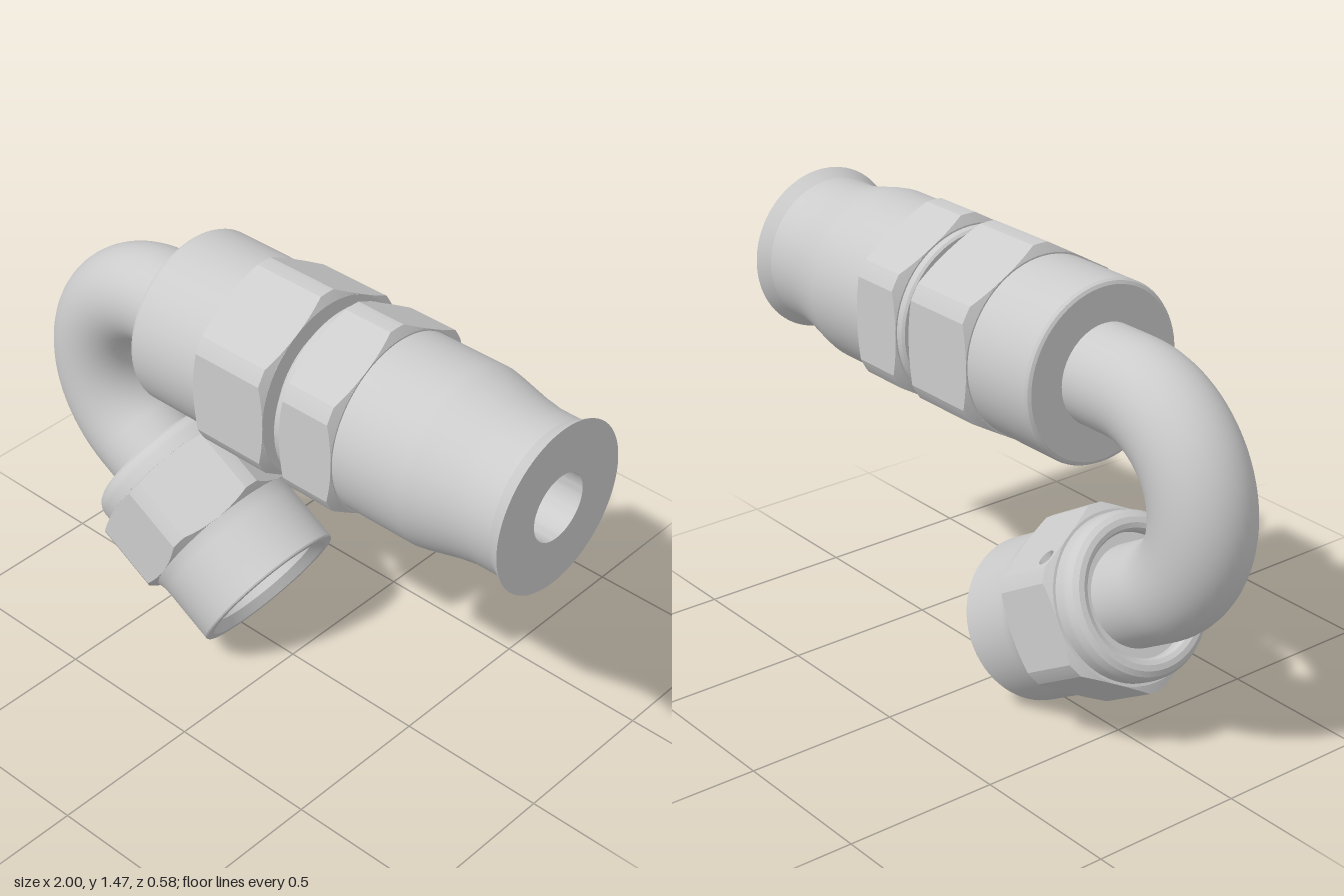
import * as THREE from 'three';
import { toCreasedNormals } from 'three/addons/utils/BufferGeometryUtils.js';

const grey = new THREE.MeshStandardMaterial({ color: 0xcccccc });
const greyDouble = new THREE.MeshStandardMaterial({ color: 0xcccccc, side: THREE.DoubleSide });

function addMesh(parent, name, geometry, material = grey) {
  const mesh = new THREE.Mesh(geometry, material);
  mesh.name = name;
  parent.add(mesh);
  return mesh;
}

// Turned part: [radius, distance along axis] pairs
function turned(points, segments = 72) {
  const profile = points.map(([r, y]) => new THREE.Vector2(r, y));
  return toCreasedNormals(new THREE.LatheGeometry(profile, segments), 0.4);
}

// Hexagon with turned-down corners: a lathe profile cut by six flats.
// hole = { side, x, y, r } drills a small blind hole into one flat.
function addHexagon(parent, name, apothem, profile, hole) {
  const group = new THREE.Group();
  group.name = name;
  parent.add(group);

  // Refine the profile so the scalloped chamfer edges come out curved
  const rows = [];
  const STEPS = 8, ARC = 8;
  profile.forEach(([r, y], i) => {
    if (i === 0) return rows.push([r, y]);
    const [r0, y0] = profile[i - 1];
    for (let j = 1; j <= STEPS; j++) {
      const t = j / STEPS;
      rows.push([r0 + (r - r0) * t, y0 + (y - y0) * t]);
    }
  });

  // Corner surfaces between neighbouring flats
  const positions = [];
  const point = ([r, y], side, j) => {
    const phi = r > apothem ? Math.acos(apothem / r) : 0;
    const a = Math.PI / 6 + side * Math.PI / 3 + phi + (Math.PI / 3 - 2 * phi) * j / ARC;
    return [r * Math.cos(a), y, r * Math.sin(a)];
  };
  for (let side = 0; side < 6; side++) {
    for (let i = 0; i < rows.length - 1; i++) {
      for (let j = 0; j < ARC; j++) {
        const a = point(rows[i], side, j), b = point(rows[i + 1], side, j);
        const c = point(rows[i + 1], side, j + 1), d = point(rows[i], side, j + 1);
        positions.push(...a, ...b, ...c, ...a, ...c, ...d);
      }
    }
  }
  const corners = new THREE.BufferGeometry();
  corners.setAttribute('position', new THREE.Float32BufferAttribute(positions, 3));
  addMesh(group, 'hexCorners', toCreasedNormals(corners, 0.4));

  // Flats
  const cut = rows.filter(([r]) => r >= apothem - 1e-6);
  const half = (r) => Math.sqrt(Math.max(0, r * r - apothem * apothem));
  for (let side = 0; side < 6; side++) {
    const outline = cut.map(([r, y]) => new THREE.Vector2(half(r), y));
    [...cut].reverse().forEach(([r, y]) => {
      if (half(r) > 1e-4) outline.push(new THREE.Vector2(-half(r), y));
    });
    const shape = new THREE.Shape(outline);
    const a = Math.PI / 6 + side * Math.PI / 3;
    const n = new THREE.Vector3(Math.cos(a), 0, Math.sin(a));
    const across = new THREE.Vector3(Math.sin(a), 0, -Math.cos(a));
    const place = new THREE.Matrix4()
      .makeBasis(across, new THREE.Vector3(0, 1, 0), n)
      .setPosition(n.clone().multiplyScalar(apothem));
    if (hole && hole.side === side) {
      shape.holes.push(new THREE.Path().absarc(hole.x, hole.y, hole.r, 0, Math.PI * 2, true));
      const cup = turned([[0, -0.035], [hole.r, -0.035], [hole.r, 0]], 24);
      cup.rotateX(Math.PI / 2).translate(hole.x, hole.y, 0).applyMatrix4(place);
      addMesh(group, 'wireHole', cup, greyDouble);
    }
    addMesh(group, 'hexFlat', new THREE.ShapeGeometry(shape, 24).applyMatrix4(place));
  }
}

// Profile of a hexagon chamfered alike at both ends
const chamfered = (a, r, y0, y1, c) => [[a, y0], [r, y0 + c], [r, y1 - c], [a, y1]];

export function createModel() {
  const model = new THREE.Group();
  model.name = 'hoseFitting';
  const AXIS_Y = 1.155, BEND_X = -0.525, BEND_Y = 0.84;
  const BEND_R = AXIS_Y - BEND_Y, TUBE_R = 0.158;
  const BEND_ANGLE = Math.PI * 5 / 6;

  // Straight hose socket along x
  const socket = new THREE.Group();
  socket.name = 'hoseSocket';
  socket.position.y = AXIS_Y;
  socket.rotation.z = -Math.PI / 2;
  model.add(socket);
  addMesh(socket, 'socketBody', turned([
    [0.14, -0.405], [0.27, -0.405], [0.28, -0.4], [0.285, -0.39],      // collar
    [0.285, -0.13], [0.29, -0.13], [0.27, -0.1],
    [0.27, 0.12], [0.29, 0.15], [0.23, 0.15], [0.23, 0.185],           // neck between hexagons
    [0.278, 0.185], [0.285, 0.192], [0.285, 0.215], [0.29, 0.215],
    [0.27, 0.24], [0.27, 0.39], [0.29, 0.415], [0.285, 0.415],
    [0.285, 0.66], [0.28, 0.69], [0.255, 0.8], [0.246, 0.86],          // tapered sleeve
    [0.245, 0.955], [0.27, 1], [0.108, 1],                             // flared end
    [0.108, 0.5], [0, 0.44],                                           // bore
  ]));
  addHexagon(socket, 'bodyHexagon', 0.29, chamfered(0.29, 0.32, -0.13, 0.15, 0.015));
  addHexagon(socket, 'sleeveHexagon', 0.29, chamfered(0.29, 0.32, 0.215, 0.415, 0.015));

  // Bent tube
  const bend = addMesh(model, 'tubeBend',
    new THREE.TorusGeometry(BEND_R, TUBE_R, 40, 64, BEND_ANGLE));
  bend.position.set(BEND_X, BEND_Y, 0);
  bend.rotation.z = Math.PI / 2;
  const upper = addMesh(model, 'upperTube',
    new THREE.CylinderGeometry(TUBE_R, TUBE_R, 0.145, 40, 1, true));
  upper.position.set(BEND_X + 0.0725, AXIS_Y, 0);
  upper.rotation.z = -Math.PI / 2;

  // Swivel nut at the lower end of the tube, built along the tube axis
  const swivel = new THREE.Group();
  swivel.name = 'swivelEnd';
  const end = Math.PI / 2 + BEND_ANGLE;
  swivel.position.set(BEND_X + BEND_R * Math.cos(end), BEND_Y + BEND_R * Math.sin(end), 0);
  swivel.rotation.z = -Math.PI * 2 / 3;
  model.add(swivel);
  const lower = addMesh(swivel, 'lowerTube',
    new THREE.CylinderGeometry(TUBE_R, TUBE_R, 0.2, 40, 1, true));
  lower.position.y = 0.1;
  addMesh(swivel, 'swivelNut', turned([
    [0.15, 0.14], [0.19, 0.14], [0.19, 0.112], [0.197, 0.1],           // gap around tube
    [0.212, 0.094], [0.23, 0.096], [0.246, 0.107], [0.256, 0.125],     // rounded lip
    [0.258, 0.14], [0.258, 0.176], [0.267, 0.176], [0.235, 0.19],
    [0.235, 0.41], [0.267, 0.43], [0.262, 0.45], [0.26, 0.475],
    [0.26, 0.665], [0.257, 0.67], [0.23, 0.67], [0.2, 0.64],           // mouth
    [0.2, 0.41], [0.17, 0.41], [0.108, 0.28], [0.108, 0.06], [0, 0],   // seat and bore
  ]));
  addHexagon(swivel, 'nutHexagon', 0.267,
    [[0.267, 0.176], [0.295, 0.188], [0.295, 0.412], [0.267, 0.43]],
    { side: 3, x: -0.08, y: 0.222, r: 0.028 });

  return model;
}
